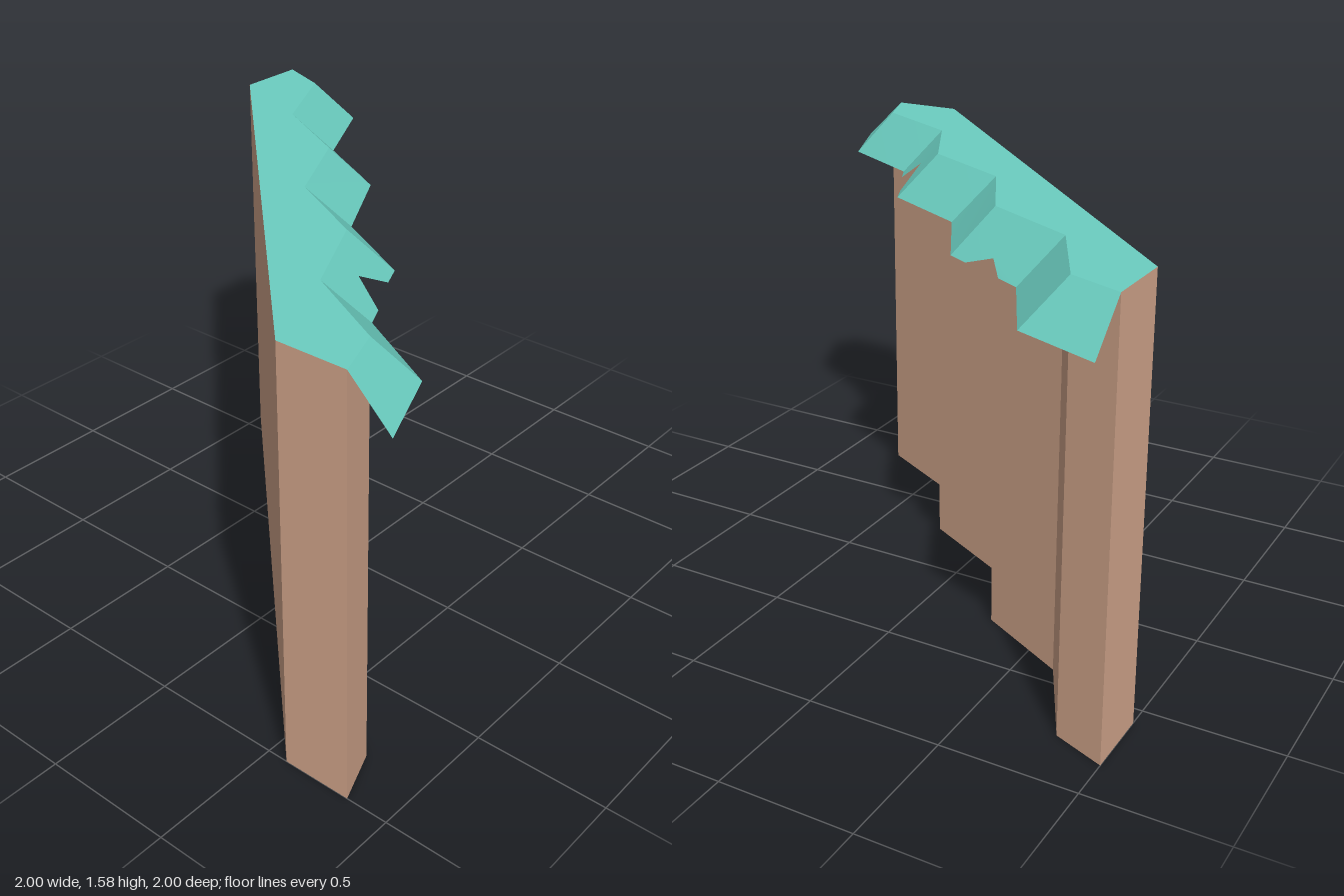
import * as THREE from 'three';

const TOP = 1.58, EAVE = 1.425;

// Wall line of the pleated side and the matching eave line, as [x, z], front to back
const wallLine = [[0.84, 1], [0.765, 0.81], [0.42, 0.625], [0.24, 0.285], [-0.105, 0.1],
  [-0.285, -0.24], [-0.63, -0.425], [-0.81, -0.765], [-1, -0.84]];
const eaveLine = [[1, 1], [0.87, 0.7], [0.53, 0.51], [0.35, 0.17], [0.01, -0.015],
  [-0.18, -0.355], [-0.52, -0.54], [-0.7, -0.88], [-1, -1]];

// Broken bites in the eave, by panel index, as [x, y, z]
const bites = {
  2: [[0.49, EAVE, 0.43], [0.385, 1.5, 0.4], [0.39, EAVE, 0.255]],
  5: [[-0.26, EAVE, -0.4], [-0.375, 1.463, -0.42], [-0.43, EAVE, -0.49]],
};

// Flat sloping panel from a [x, y, z] outline
function panelGeometry(points) {
  const flat = points.map(([x, , z]) => new THREE.Vector2(x, -z));
  const faces = THREE.ShapeUtils.triangulateShape(flat, []);
  const geo = new THREE.BufferGeometry();
  geo.setAttribute('position', new THREE.Float32BufferAttribute(points.flat(), 3));
  geo.setIndex(faces.flat());
  geo.computeVertexNormals();
  return geo;
}

export function createModel() {
  const group = new THREE.Group();
  const clay = new THREE.MeshStandardMaterial({ color: 0xd6a98e });
  clay.name = 'clay wall';
  const teal = new THREE.MeshStandardMaterial({ color: 0x6ccfc2, side: THREE.DoubleSide });
  teal.name = 'teal roof';

  // Wall block: straight long face, pleated back, teal upper cap
  const outline = [[-1, -0.578], [0.578, 1], ...wallLine];
  const shape = new THREE.Shape(outline.map(([x, z]) => new THREE.Vector2(x, -z)));
  const geo = new THREE.ExtrudeGeometry(shape, { depth: TOP, bevelEnabled: false });
  geo.rotateX(-Math.PI / 2);
  const caps = geo.groups[0].count, sides = geo.groups[1].count;
  geo.clearGroups();
  geo.addGroup(0, caps / 2, 0);
  geo.addGroup(caps / 2, caps / 2, 1);
  geo.addGroup(caps, sides, 0);
  const wall = new THREE.Mesh(geo, [clay, teal]);
  wall.name = 'wallBlock';
  group.add(wall);

  // Sloping eave panels, open underneath
  const eaves = new THREE.Group();
  eaves.name = 'eaves';
  const at = ([x, z], y) => [x, y, z];
  for (let i = 0; i < wallLine.length - 1; i++) {
    const panel = new THREE.Mesh(panelGeometry([
      at(wallLine[i], TOP), at(eaveLine[i], EAVE), ...(bites[i] || []),
      at(eaveLine[i + 1], EAVE), at(wallLine[i + 1], TOP),
    ]), teal);
    panel.name = 'eavePanel' + (i + 1);
    eaves.add(panel);
  }
  group.add(eaves);

  // Centre the height range on the ground and the plan on the origin
  group.position.set(0, 0, 0);
  return group;
}
